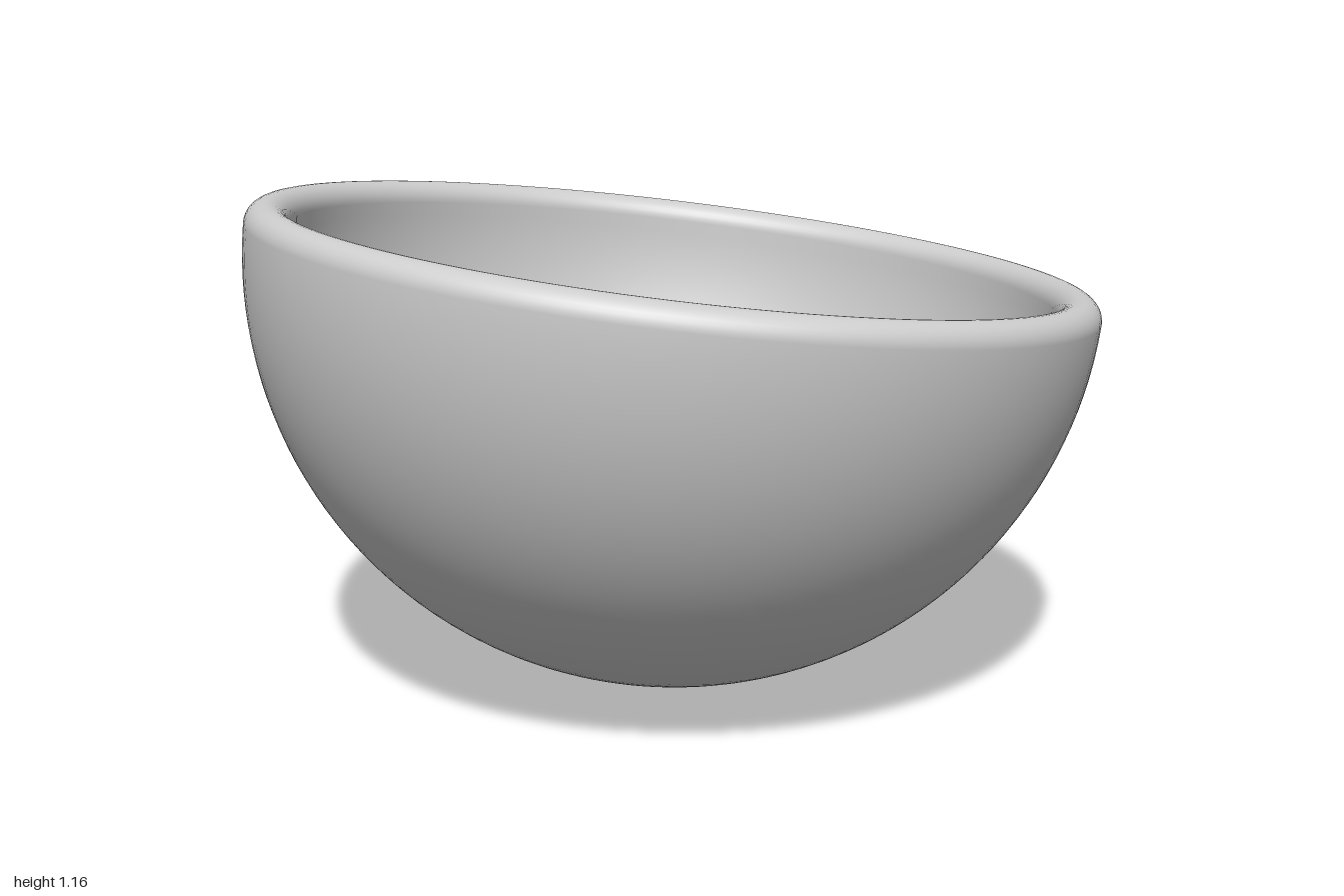
import * as THREE from 'three';

export function createModel() {
  const model = new THREE.Group();
  model.name = 'tiltedBowl';

  const greyCeramic = new THREE.MeshStandardMaterial({ color: 0xcccccc });
  greyCeramic.name = 'greyCeramic';

  const outer = 1, inner = 0.9;
  const lip = (outer - inner) / 2;
  const profile = [];

  // Adds an arc of the wall section, leaving out its last point
  const arc = (cx, radius, from, to, steps) => {
    for (let i = 0; i < steps; i++) {
      const a = from + (to - from) * i / steps;
      profile.push(new THREE.Vector2(Math.max(0, cx + radius * Math.cos(a)), radius * Math.sin(a)));
    }
  };

  arc(0, outer, -Math.PI / 2, 0, 40);       // outside, from the bottom up
  arc(outer - lip, lip, 0, Math.PI, 16);    // rounded rim
  arc(0, inner, 0, -Math.PI / 2, 40);       // inside, down to the bottom
  profile.push(new THREE.Vector2(0, -inner));

  // Hollow hemisphere, leaning towards its left side
  const bowl = new THREE.Mesh(new THREE.LatheGeometry(profile, 128), greyCeramic);
  bowl.name = 'bowl';
  bowl.position.y = outer;
  bowl.rotation.z = THREE.MathUtils.degToRad(-6.8);
  model.add(bowl);

  return model;
}
